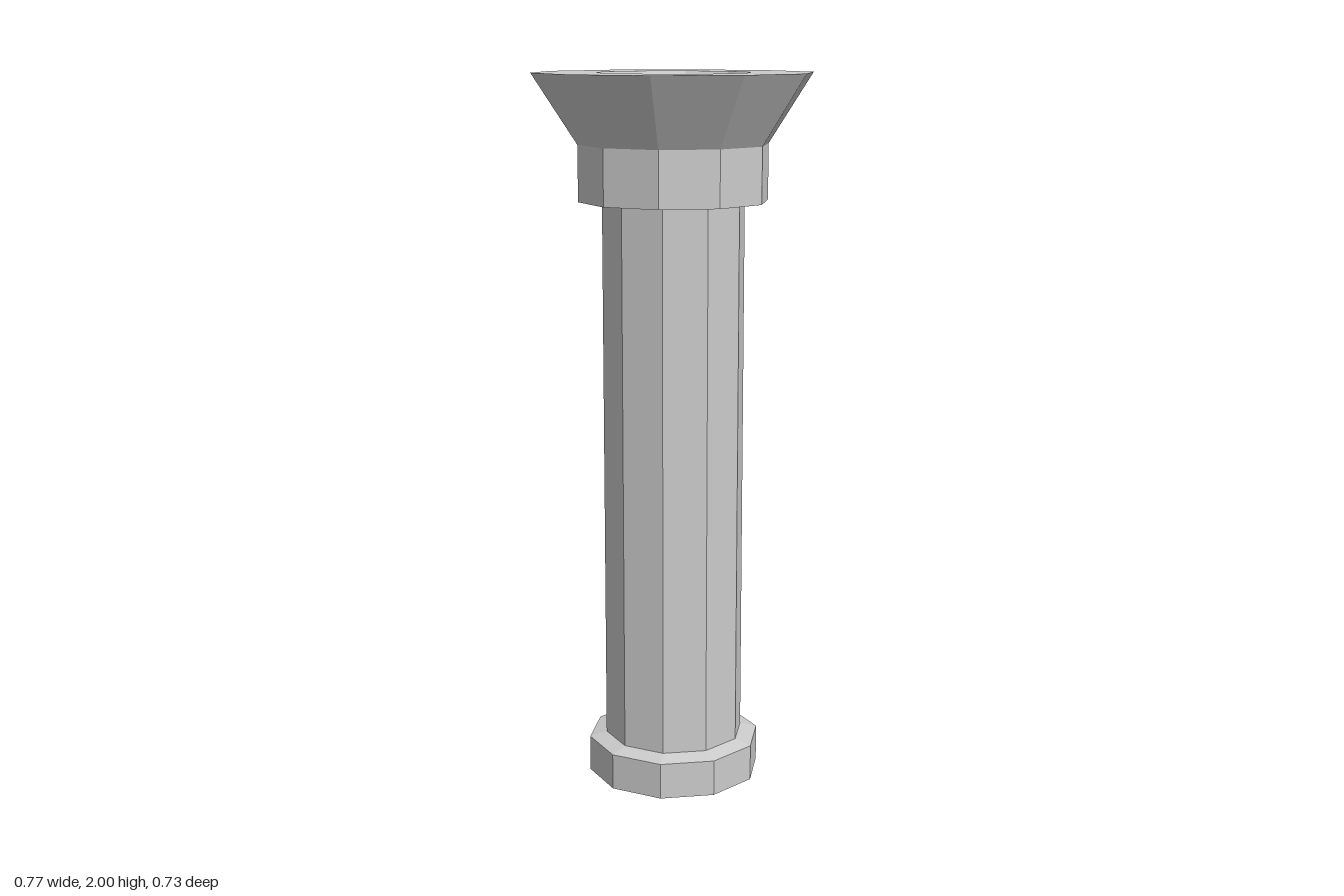
import * as THREE from 'three';

const SIDES = 10;

export function createModel() {
  const group = new THREE.Group();
  const material = new THREE.MeshStandardMaterial({ color: 0xcccccc, flatShading: true });

  // Ten-sided turned part from [radius, height] pairs, with corners on the x axis
  function turned(name, profile) {
    const points = profile.map(([r, y]) => new THREE.Vector2(r, y));
    const mesh = new THREE.Mesh(new THREE.LatheGeometry(points, SIDES, Math.PI / 2), material);
    mesh.name = name;
    group.add(mesh);
  }

  // Foot with bevelled lower and upper edges
  turned('base', [[0, 0], [0.2, 0], [0.245, 0.015], [0.245, 0.117], [0.197, 0.13]]);

  // Long straight column
  turned('shaft', [[0.197, 0.13], [0.197, 1.657]]);

  // Collar under the flared top
  turned('collar', [[0.197, 1.657], [0.262, 1.657], [0.262, 1.81]]);

  // Flared bowl with a flat rim and a tapered hollow
  turned('bowl', [[0.262, 1.81], [0.385, 2], [0.214, 2], [0.09, 1.81], [0, 1.81]]);

  return group;
}
